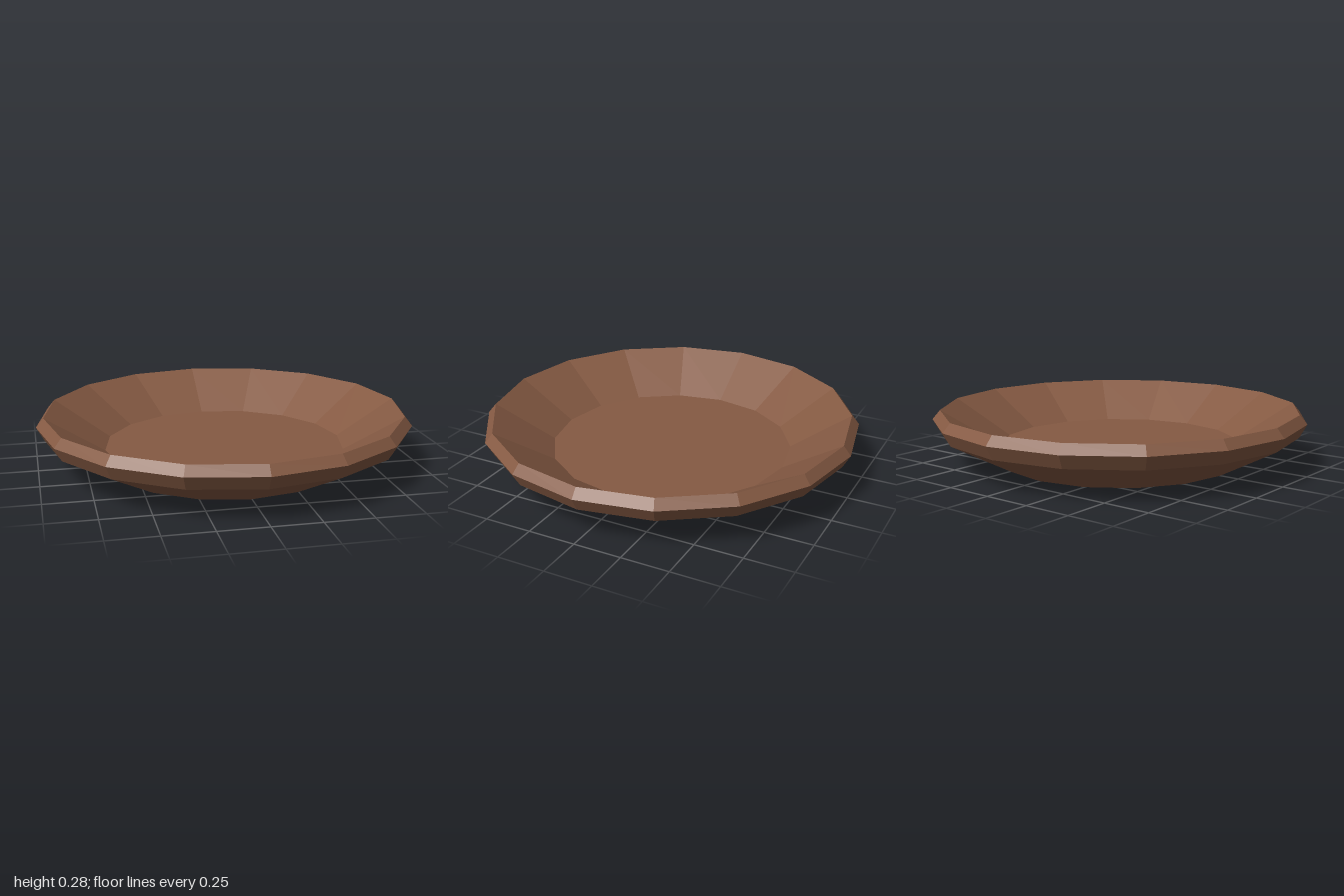
import * as THREE from 'three';

const SIDES = 16;

export function createModel() {
  const brown = new THREE.MeshStandardMaterial({ color: 0x855a43, flatShading: true });
  brown.name = 'warm brown';

  const group = new THREE.Group();
  group.name = 'plate';

  // Faceted ring from a [radius, height] profile
  function turned(name, profile) {
    const points = profile.map(([r, y]) => new THREE.Vector2(r, y));
    const mesh = new THREE.Mesh(new THREE.LatheGeometry(points, SIDES), brown);
    mesh.name = name;
    group.add(mesh);
  }

  // Flat foot and flared underside
  turned('underside', [[0, 0], [0.645, 0], [0.96, 0.165]]);
  // Bevelled outer rim
  turned('rim', [[0.96, 0.165], [1, 0.237], [0.96, 0.285]]);
  // Sloping inner wall down to the flat floor
  turned('innerDish', [[0.96, 0.285], [0.645, 0.09], [0, 0.09]]);

  return group;
}
